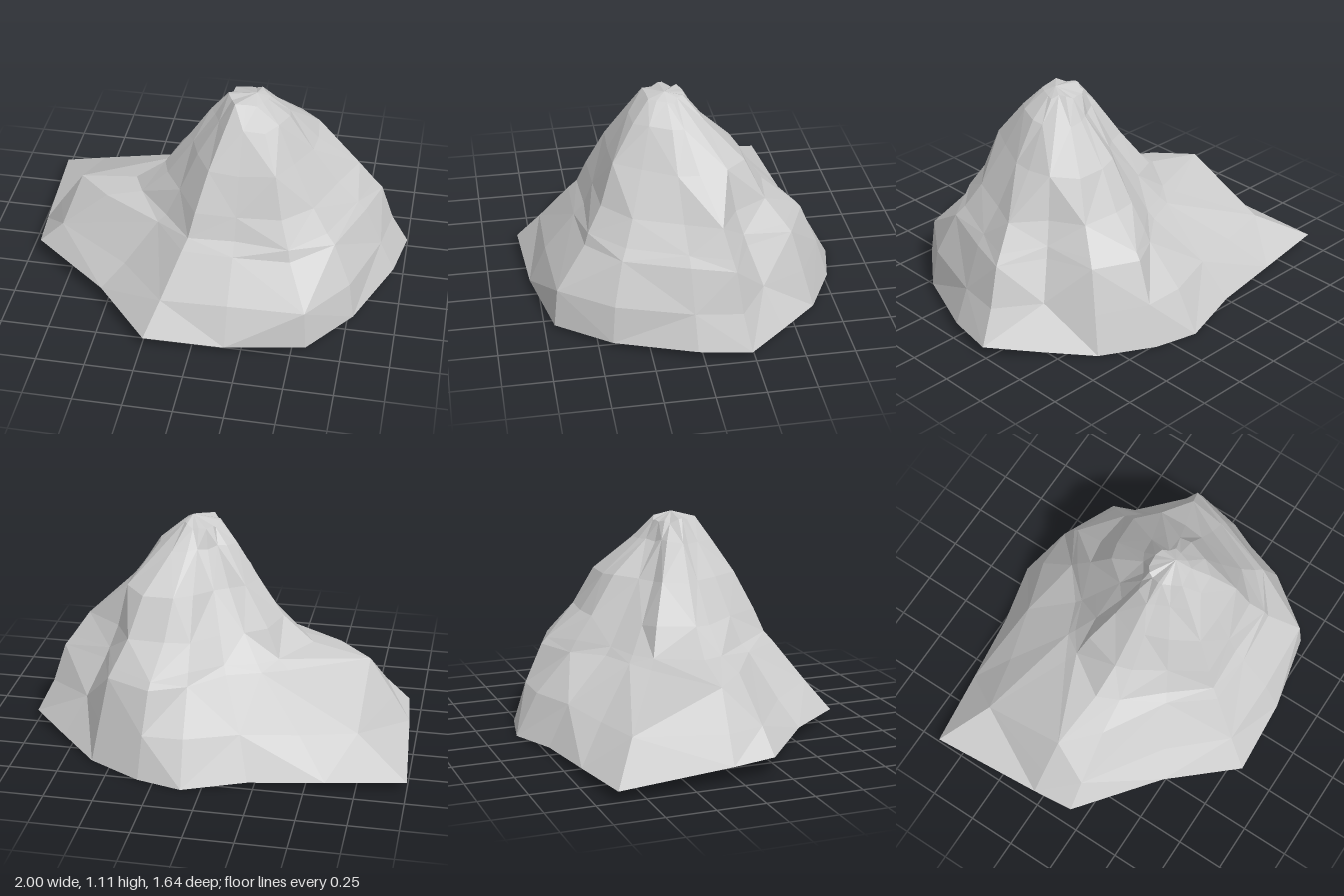
import * as THREE from 'three';

// Axis of the peak, which every contour is measured from
const AXIS = { x: 0.17, z: 0.08 };

// Foot of the rock, counter-clockwise from above: x, y, z
const FOOT = [
  [-1, 0.055, -0.64], [-0.96, 0.085, -0.04], [-0.94, 0.1, 0.18], [-0.53, 0.085, 0.5],
  [-0.24, 0.06, 0.82], [0.17, 0.035, 0.79], [0.57, 0.02, 0.7], [0.78, 0.03, 0.43],
  [0.95, 0.05, 0.03], [1, 0.055, -0.23], [0.8, 0.03, -0.43], [0.6, 0.01, -0.63],
  [0.33, 0.005, -0.77], [0.1, 0, -0.82], [-0.22, 0.03, -0.74], [-0.6, 0.04, -0.69],
];

// Height contours: reach from the axis towards each foot point (0 = axis, 1 = foot)
const CONTOURS = [
  { y: 0.22, reach: [0.78, 0.92, 0.88, 0.84, 0.84, 0.88, 0.96, 0.95, 0.9, 0.9, 0.83, 0.92, 0.93, 0.87, 0.85, 0.8] },
  { y: 0.42, reach: [0.44, 0.81, 0.66, 0.61, 0.63, 0.66, 0.72, 0.8, 0.79, 0.82, 0.69, 0.84, 0.82, 0.66, 0.56, 0.5] },
  { y: 0.47, reach: [0.4, 0.53, 0.5, 0.55, 0.57, 0.58, 0.68, 0.74, 0.73, 0.78, 0.66, 0.8, 0.78, 0.62, 0.51, 0.46] },
  { y: 0.6, reach: [0.34, 0.4, 0.38, 0.46, 0.5, 0.51, 0.56, 0.6, 0.6, 0.67, 0.6, 0.66, 0.58, 0.53, 0.42, 0.36] },
  { y: 0.8, reach: [0.22, 0.27, 0.25, 0.34, 0.38, 0.4, 0.45, 0.42, 0.42, 0.42, 0.52, 0.52, 0.43, 0.38, 0.28, 0.24] },
  { y: 0.98, reach: [0.13, 0.17, 0.16, 0.2, 0.24, 0.25, 0.27, 0.28, 0.26, 0.24, 0.28, 0.27, 0.22, 0.18, 0.15, 0.14] },
];

// Small seeded generator for the rough facets
function seeded(seed) {
  return () => {
    seed = (seed * 16807) % 2147483647;
    return seed / 2147483647 - 0.5;
  };
}

function along([x, , z], t, y) {
  return [AXIS.x + (x - AXIS.x) * t, y, AXIS.z + (z - AXIS.z) * t];
}

function buildRings() {
  const rough = seeded(71);
  const rings = [FOOT];
  for (const { y, reach } of CONTOURS) {
    rings.push(FOOT.map((p, i) => along(p, reach[i] + rough() * 0.015, y + rough() * 0.025)));
  }
  // Blunt crown just under the summit
  rings.push(FOOT.map((p) => {
    const length = Math.hypot(p[0] - AXIS.x, p[2] - AXIS.z);
    return along(p, (0.1 + rough() * 0.03) / length, 1.08 + rough() * 0.03);
  }));
  return rings;
}

function facetedMesh(name, positions) {
  const geometry = new THREE.BufferGeometry();
  geometry.setAttribute('position', new THREE.Float32BufferAttribute(positions, 3));
  geometry.computeVertexNormals();
  const material = new THREE.MeshStandardMaterial({ color: 0xcccccc, flatShading: true });
  const mesh = new THREE.Mesh(geometry, material);
  mesh.name = name;
  return mesh;
}

export function createModel() {
  const group = new THREE.Group();
  group.name = 'rock';
  const rings = buildRings();
  const n = FOOT.length;

  // Slopes: triangles between neighbouring contours, diagonals alternating
  const slopes = [];
  for (let r = 0; r < rings.length - 1; r++) {
    for (let i = 0; i < n; i++) {
      const j = (i + 1) % n;
      const [a, b, c, d] = [rings[r][i], rings[r][j], rings[r + 1][j], rings[r + 1][i]];
      if ((i + r) % 2) slopes.push(...a, ...b, ...c, ...a, ...c, ...d);
      else slopes.push(...a, ...b, ...d, ...b, ...c, ...d);
    }
  }
  // Summit closes the crown, underside closes the foot
  const crown = rings[rings.length - 1];
  const underside = [];
  for (let i = 0; i < n; i++) {
    const j = (i + 1) % n;
    slopes.push(0.21, 1.11, 0.08, ...crown[i], ...crown[j]);
    underside.push(0, 0.035, 0, ...FOOT[j], ...FOOT[i]);
  }
  group.add(facetedMesh('slopes', slopes), facetedMesh('underside', underside));
  return group;
}
